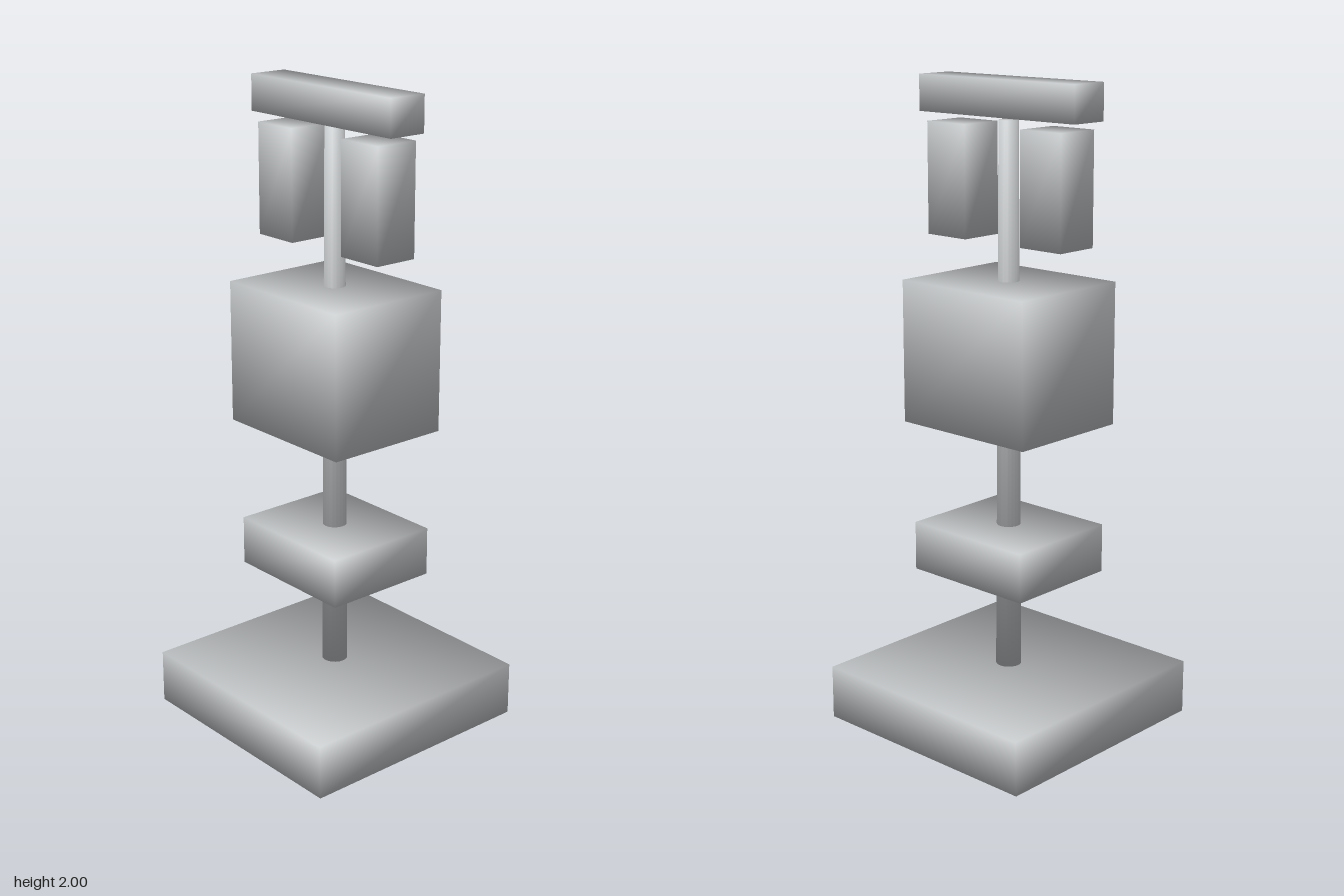
import * as THREE from 'three';

const grey = new THREE.MeshStandardMaterial({ color: 0xc4c7c9 });
grey.name = 'plain grey';

// Give every vertex a normal that blends the faces meeting there
function softenNormals(geometry, rule) {
  const pos = geometry.attributes.position;
  const p = new THREE.Vector3();
  for (let i = 0; i < pos.count; i++) {
    const n = rule(p.fromBufferAttribute(pos, i)).normalize();
    geometry.attributes.normal.setXYZ(i, n.x, n.y, n.z);
  }
  return geometry;
}

const cornerNormal = (p) => new THREE.Vector3(Math.sign(p.x), Math.sign(p.y), Math.sign(p.z));

function rimNormal(p) {
  const r = Math.hypot(p.x, p.z);
  if (r < 1e-4) return new THREE.Vector3(0, Math.sign(p.y), 0);
  return new THREE.Vector3(p.x / r, Math.sign(p.y) * 0.85, p.z / r);
}

function addMesh(group, name, geometry, x, y) {
  const mesh = new THREE.Mesh(geometry, grey);
  mesh.name = name;
  mesh.position.set(x, y, 0);
  group.add(mesh);
}

// Soft-shaded block standing between two heights
function addBlock(group, name, width, depth, bottom, top, x = 0) {
  const geometry = softenNormals(new THREE.BoxGeometry(width, top - bottom, depth), cornerNormal);
  addMesh(group, name, geometry, x, (top + bottom) / 2);
}

export function createModel() {
  const group = new THREE.Group();
  group.name = 'blockPost';

  // Stacked blocks, from the ground up
  addBlock(group, 'base', 0.788, 0.788, 0, 0.17);
  addBlock(group, 'lowerSlab', 0.44, 0.376, 0.488, 0.641);
  addBlock(group, 'middleBlock', 0.487, 0.408, 0.964, 1.404);
  addBlock(group, 'topBeam', 0.613, 0.125, 1.89, 2);

  // Pair of hanging blocks under the beam
  for (const [name, side] of [['leftHanger', 1], ['rightHanger', -1]]) {
    addBlock(group, name, 0.155, 0.142, 1.524, 1.864, side * 0.188);
  }

  // Tapered pole through the stack
  const bottom = 0.178, top = 1.88;
  const pole = softenNormals(new THREE.CylinderGeometry(0.03, 0.04, top - bottom, 20), rimNormal);
  addMesh(group, 'pole', pole, 0, (top + bottom) / 2);

  return group;
}
